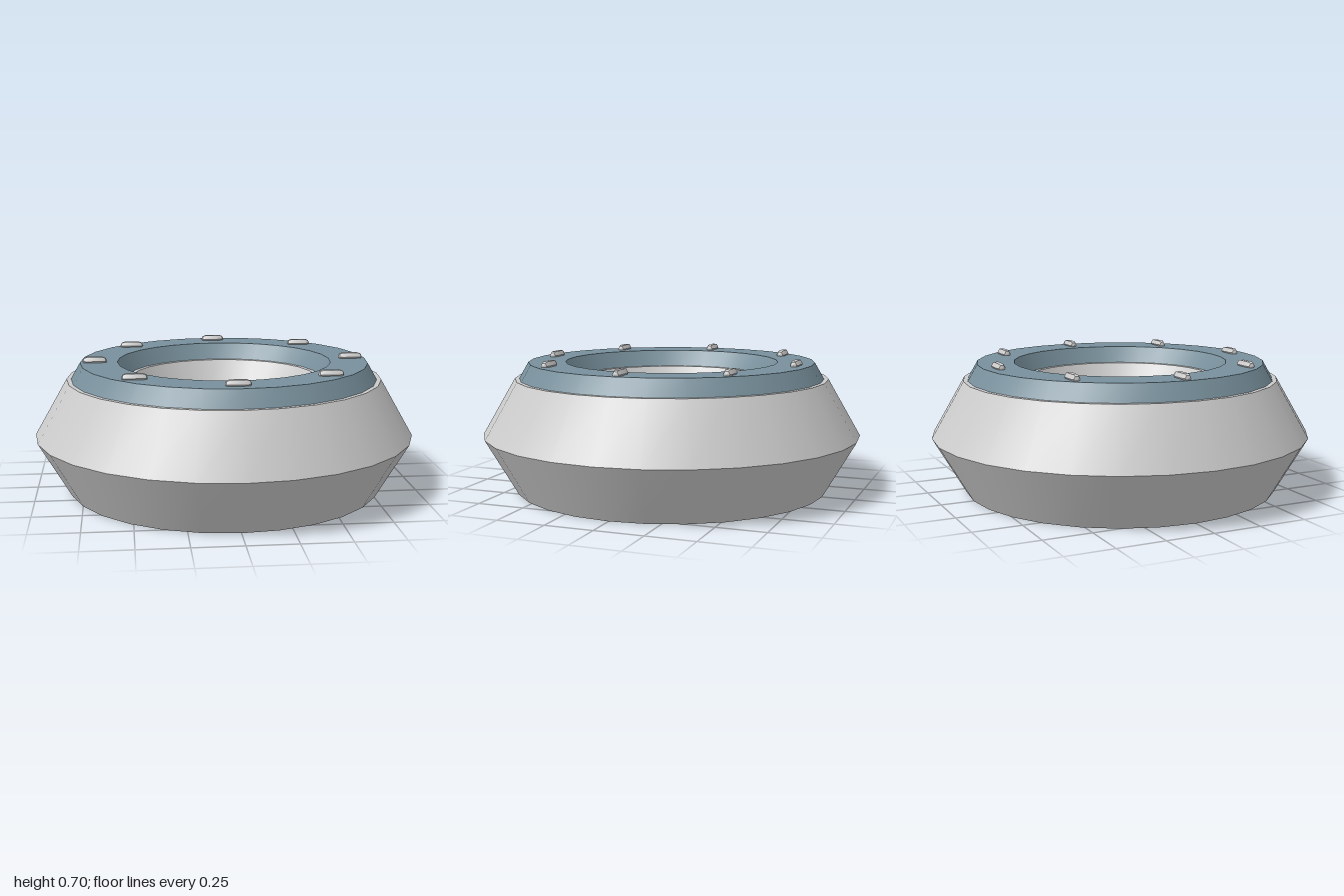
import * as THREE from 'three';
import { toCreasedNormals } from 'three/addons/utils/BufferGeometryUtils.js';

const RING = 0.66; // radius of the ring's centre line

function part(name, geometry, color = 0xcccccc) {
  const mesh = new THREE.Mesh(
    toCreasedNormals(geometry, 0.7),
    new THREE.MeshStandardMaterial({ color })
  );
  mesh.name = name;
  return mesh;
}

// Horizontal ring with a hexagonal cross-section
function hexRing(name, tube, y, color) {
  const geometry = new THREE.TorusGeometry(RING, tube, 6, 28);
  geometry.rotateX(-Math.PI / 2).translate(0, y, 0);
  return part(name, geometry, color);
}

export function createModel() {
  const model = new THREE.Group();
  model.name = 'donut';

  // Dough, and the icing ring sunk into its top
  model.add(hexRing('dough', 0.34, 0.294));
  model.add(hexRing('icing', 0.195, 0.505, 0x78909c));

  // Eight sprinkles around the icing, all lying along x
  const sprinkles = new THREE.Group();
  sprinkles.name = 'sprinkles';
  const capsule = new THREE.CapsuleGeometry(0.024, 0.08, 2, 6);
  capsule.rotateY(Math.PI / 2).rotateZ(Math.PI / 2);
  for (let i = 0; i < 8; i++) {
    const a = (i * Math.PI) / 4;
    const sprinkle = part('sprinkle', capsule);
    sprinkle.position.set(0.68 * Math.cos(a), 0.681, 0.68 * Math.sin(a));
    sprinkles.add(sprinkle);
  }
  model.add(sprinkles);
  return model;
}
